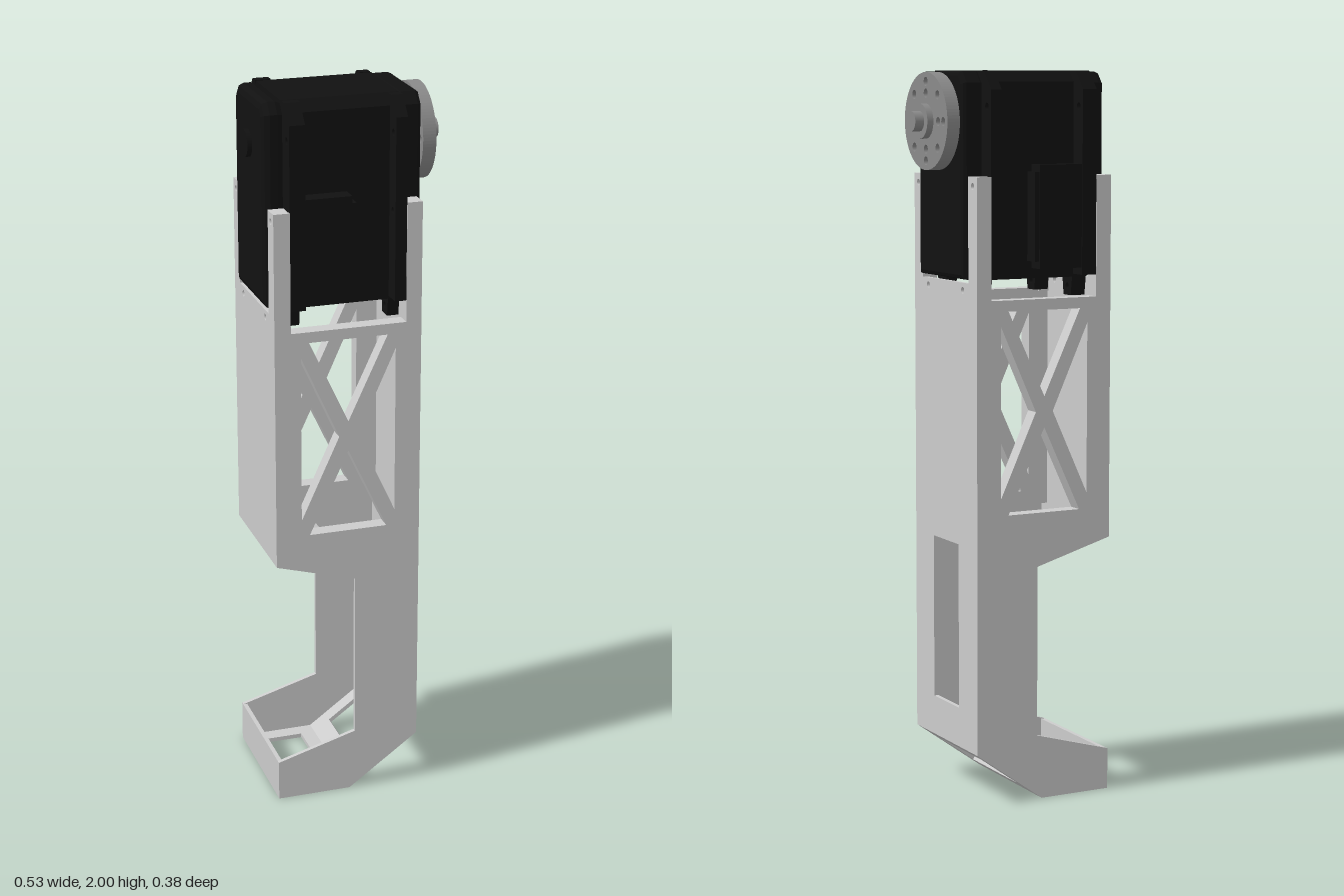
import * as THREE from 'three';

const grey = new THREE.MeshStandardMaterial({ color: 0xcccccc });
const black = new THREE.MeshStandardMaterial({ color: 0x111111 });
const metal = new THREE.MeshStandardMaterial({ color: 0x8a8a8a });

const HALF = 0.19;    // half depth of the bracket
const WALL = 0.012;   // sheet thickness
const AXIS_Y = 1.865; // height of the output shaft

const poly = (pts) => new THREE.Shape(pts.map(([x, y]) => new THREE.Vector2(x, y)));
const rect = (x0, y0, x1, y1) => poly([[x0, y0], [x1, y0], [x1, y1], [x0, y1]]);
const circle = (x, y, r) => new THREE.Shape().absarc(x, y, r, 0, Math.PI * 2);

function extrude(shape, holes, depth, bevel = 0) {
  shape.holes = holes;
  return new THREE.ExtrudeGeometry(shape, {
    depth, curveSegments: 20, bevelEnabled: bevel > 0,
    bevelThickness: bevel, bevelSize: bevel, bevelOffset: -bevel, bevelSegments: 2,
  });
}

// Outline in (z, y) extruded along x, starting at x0
function alongX(shape, holes, x0, depth, bevel = 0) {
  const g = extrude(shape, holes, depth - 2 * bevel, bevel);
  return g.rotateY(Math.PI / 2).translate(x0 + bevel, 0, 0);
}

// Sheet from point a to point b of the side profile, thickened inwards
function sheet(a, b, holes) {
  const d = new THREE.Vector3(b[0] - a[0], b[1] - a[1], 0);
  const length = d.length();
  d.normalize();
  const n = new THREE.Vector3(-d.y, d.x, 0);
  const m = new THREE.Matrix4().makeBasis(new THREE.Vector3().crossVectors(d, n), d, n);
  m.setPosition(a[0], a[1], 0);
  const w = HALF - 0.001;
  return extrude(rect(-w, 0, w, length), holes, WALL).applyMatrix4(m);
}

function add(parent, name, geometry, material) {
  const mesh = new THREE.Mesh(geometry, material);
  mesh.name = name;
  parent.add(mesh);
  return mesh;
}

function createBracket() {
  const g = new THREE.Group();
  g.name = 'bracket';

  // Four openings between the crossed truss bars
  const truss = () => [
    poly([[-0.15, 1.36], [0.07, 1.36], [-0.04, 1.125]]),
    poly([[-0.15, 0.805], [0.07, 0.805], [-0.04, 1.04]]),
    poly([[-0.173, 1.32], [-0.173, 0.85], [-0.066, 1.083]]),
    poly([[0.093, 1.32], [0.093, 0.85], [-0.014, 1.083]]),
  ];
  const profile = [
    [-0.245, 0], [-0.035, 0], [0.165, 0.145], [0.165, 1.72], [0.122, 1.72], [0.122, 1.39],
    [-0.2, 1.39], [-0.2, 1.72], [-0.245, 1.72], [-0.245, 0.72], [-0.02, 0.655],
    [-0.02, 0.18], [-0.245, 0.115],
  ];
  for (const s of [1, -1]) {
    const side = s > 0 ? 'front' : 'back';
    add(g, side + 'Plate', extrude(poly(profile), truss(), WALL)
      .translate(0, 0, s > 0 ? HALF - WALL : -HALF), grey);
    // Thicker truss behind the plate
    add(g, side + 'Truss', extrude(rect(-0.24, 0.765, 0.16, 1.39), truss(), 0.043)
      .translate(0, 0, s > 0 ? HALF - 0.044 : -HALF + 0.001), grey);
    // Corner posts holding the motor
    for (const x of [-0.245, 0.122]) {
      add(g, side + 'Post', alongX(
        rect(s * 0.139, 1.38, s * (HALF - 0.0005), 1.72),
        [circle(s * 0.165, 1.695, 0.009)], x, 0.043), grey);
    }
  }

  // Sheets that close the profile
  const screws = (y) => [-1, 1].map((s) => circle(s * 0.105, y, 0.009));
  add(g, 'leftWall', sheet([0.165, 0.145], [0.165, 1.435],
    [rect(-0.077, 0.11, 0.077, 0.57), ...screws(1.27)]), grey);
  add(g, 'rightWall', sheet([-0.245, 1.435], [-0.245, 0.72], screws(0.02)), grey);
  add(g, 'heelSlope', sheet([-0.035, 0], [0.165, 0.145], [rect(-0.135, 0.06, 0.135, 0.196)]), grey);
  add(g, 'sole', sheet([-0.245, 0], [-0.035, 0], [rect(-0.135, 0.045, 0.135, 0.165)]), grey);
  add(g, 'toeWall', sheet([-0.245, 0.115], [-0.245, 0], []), grey);
  add(g, 'innerSlope', sheet([-0.245, 0.72], [-0.02, 0.655], [rect(-0.135, 0.04, 0.135, 0.19)]), grey);
  return g;
}

function createMotor() {
  const g = new THREE.Group();
  g.name = 'motor';

  // Case with chamfered top edges
  const caseShape = (w, y0, y1) => poly([
    [-w, y0], [w, y0], [w, y1 - 0.03], [w - 0.025, y1], [-w + 0.025, y1], [-w, y1 - 0.03],
  ]);
  add(g, 'case', alongX(caseShape(0.137, 1.442, 2), [], -0.2, 0.322), black);
  add(g, 'rightCover', alongX(caseShape(0.135, 1.445, 1.998), [], -0.255, 0.06, 0.02), black);
  add(g, 'leftCover', alongX(caseShape(0.135, 1.445, 1.998), [], 0.115, 0.064, 0.012), black);

  // Mounting flanges with screw ears and feet
  for (const [x, depth] of [[-0.2, 0.043], [0.09, 0.032]]) {
    for (const s of [-1, 1]) {
      add(g, 'ear', alongX(
        poly([[s * 0.12, 1.45], [s * 0.188, 1.45], [s * 0.188, 1.95], [s * 0.145, 2], [s * 0.12, 2]]),
        [circle(s * 0.165, 1.905, 0.01), circle(s * 0.165, 1.695, 0.009)], x, depth), black);
      add(g, 'foot', alongX(
        poly([[s * 0.075, 1.46], [s * 0.085, 1.39], [s * 0.125, 1.39], [s * 0.135, 1.46]]),
        [circle(s * 0.105, 1.415, 0.009)], x, depth), black);
    }
  }

  // Raised blocks on the front and back of the case
  for (const s of [-1, 1]) {
    add(g, 'sideBlock', new THREE.BoxGeometry(0.13, 0.28, 0.06), black).position.set(-0.093, 1.61, s * 0.155);
    add(g, 'sideRib', new THREE.BoxGeometry(0.02, 0.24, 0.06), black).position.set(-0.025, 1.61, s * 0.151);
  }

  // Shaft parts turned about the x axis
  const turned = (name, r, x0, x1, material) => add(g, name,
    new THREE.CylinderGeometry(r, r, x1 - x0, 40).rotateZ(Math.PI / 2)
      .translate((x0 + x1) / 2, AXIS_Y, 0), material);
  turned('rearKnob', 0.037, -0.268, -0.25, black);
  turned('shaftCollar', 0.045, 0.175, 0.187, black);
  turned('hornHub', 0.047, 0.2, 0.24, metal);
  turned('hornTip', 0.027, 0.235, 0.266, metal);

  // Horn disc with a ring of bolt holes
  const holes = [];
  for (let i = 0; i < 8; i++) {
    const a = (i * Math.PI) / 4;
    for (const r of i % 2 ? [0.1] : [0.075, 0.106]) {
      holes.push(circle(r * Math.cos(a), r * Math.sin(a), 0.012));
    }
  }
  const disc = new THREE.Shape().absarc(0, 0, 0.131, 0, Math.PI * 2);
  const horn = new THREE.ExtrudeGeometry(Object.assign(disc, { holes }),
    { depth: 0.037, bevelEnabled: false, curveSegments: 48 });
  add(g, 'horn', horn.rotateY(Math.PI / 2).translate(0.185, AXIS_Y, 0), metal);
  return g;
}

export function createModel() {
  const model = new THREE.Group();
  model.name = 'legSegment';
  model.add(createBracket(), createMotor());
  return model;
}
